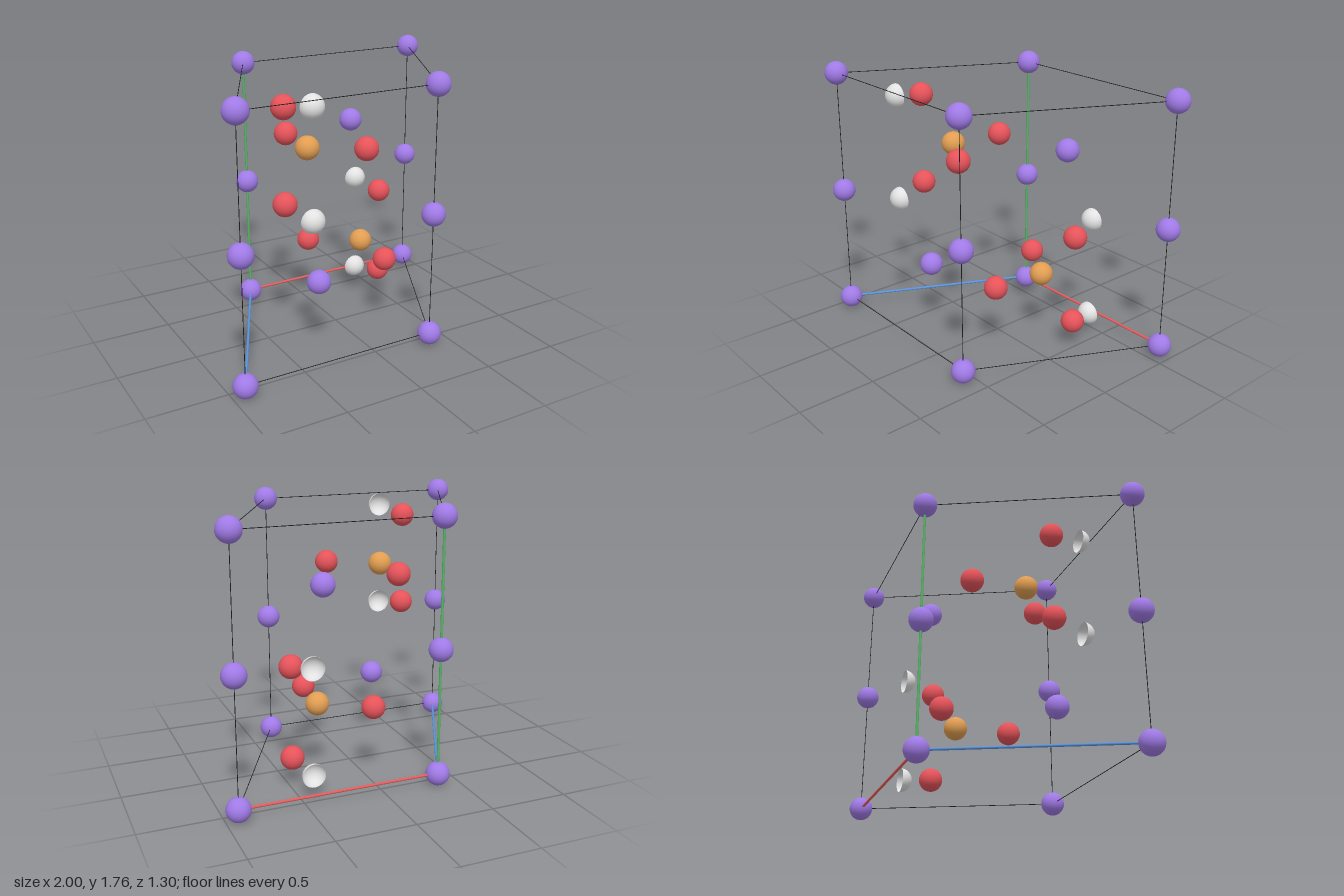
import * as THREE from 'three';

const RADIUS = 0.075;
const BOTTOM = 0.075, MIDDLE = 0.88, TOP = 1.685;

const material = (name, color, side = THREE.FrontSide) => {
  const m = new THREE.MeshStandardMaterial({ color, side });
  m.name = name;
  return m;
};

export function createModel() {
  const model = new THREE.Group();
  model.name = 'crystalCell';

  const purple = material('purple', 0xa07ae6);
  const red = material('red', 0xe6535a);
  const orange = material('orange', 0xe29e52);
  const white = material('white', 0xe2e2e2, THREE.DoubleSide);
  const black = material('black', 0x1c1c1c);
  const axisRed = material('axisRed', 0xe65c5c);
  const axisGreen = material('axisGreen', 0x58b368);
  const axisBlue = material('axisBlue', 0x5a94dc);

  const ball = new THREE.SphereGeometry(RADIUS, 32, 20);
  // Open half shell, domed towards +z
  const shell = new THREE.SphereGeometry(RADIUS, 24, 20, 0, Math.PI);

  const addAtom = (name, geometry, mat, x, y, z) => {
    const mesh = new THREE.Mesh(geometry, mat);
    mesh.name = name;
    mesh.position.set(x, y, z);
    model.add(mesh);
  };

  const addRod = (name, a, b, radius, mat) => {
    const dir = b.clone().sub(a);
    const rod = new THREE.Mesh(new THREE.CylinderGeometry(radius, radius, dir.length(), 12), mat);
    rod.name = name;
    rod.position.copy(a).add(b).multiplyScalar(0.5);
    rod.quaternion.setFromUnitVectors(new THREE.Vector3(0, 1, 0), dir.normalize());
    model.add(rod);
  };

  // Slanted footprint, starting at the origin corner of the axes
  const corners = [[-0.357, -0.575], [0.925, -0.575], [0.357, 0.575], [-0.925, 0.575]];
  const at = (i, y) => new THREE.Vector3(corners[i % 4][0], y, corners[i % 4][1]);

  // Frame: coloured axes meet at the first corner, other edges are thin
  const thin = 0.0022, thick = 0.0082;
  const bottomAxes = { 0: ['xAxis', axisRed], 3: ['zAxis', axisBlue] };
  for (let i = 0; i < 4; i++) {
    const [name, mat] = bottomAxes[i] ?? ['bottomEdge', black];
    addRod(name, at(i, BOTTOM), at(i + 1, BOTTOM), mat === black ? thin : thick, mat);
    addRod('topEdge', at(i, TOP), at(i + 1, TOP), thin, black);
    if (i === 0) addRod('yAxis', at(i, BOTTOM), at(i, TOP), thick, axisGreen);
    else addRod('uprightEdge', at(i, BOTTOM), at(i, TOP), thin, black);

    // Atoms on each upright
    for (const y of [BOTTOM, MIDDLE, TOP]) addAtom('cornerAtom', ball, purple, corners[i][0], y, corners[i][1]);
  }

  // Inner atoms come in pairs mirrored through the cell centre
  const inner = [
    ['purpleAtom', purple, 0.3, 1.282, -0.318],
    ['orangeAtom', orange, -0.275, 1.282, 0.137],
    ['redAtom', red, -0.24, 1.282, -0.217],
    ['redAtom', red, 0.025, 1.282, 0.33],
    ['redAtom', red, -0.478, 1.577, 0.231],
    ['redAtom', red, -0.478, 0.986, 0.231],
  ];
  for (const [name, mat, x, y, z] of inner) {
    addAtom(name, ball, mat, x, y, z);
    addAtom(name, ball, mat, -x, 2 * MIDDLE - y, -z);
  }

  // Half shells share centres by the same symmetry but all dome forwards
  for (const y of [1.62, 0.943]) {
    addAtom('halfAtom', shell, white, -0.415, y, 0.454);
    addAtom('halfAtom', shell, white, 0.415, 2 * MIDDLE - y, -0.452);
  }

  return model;
}
